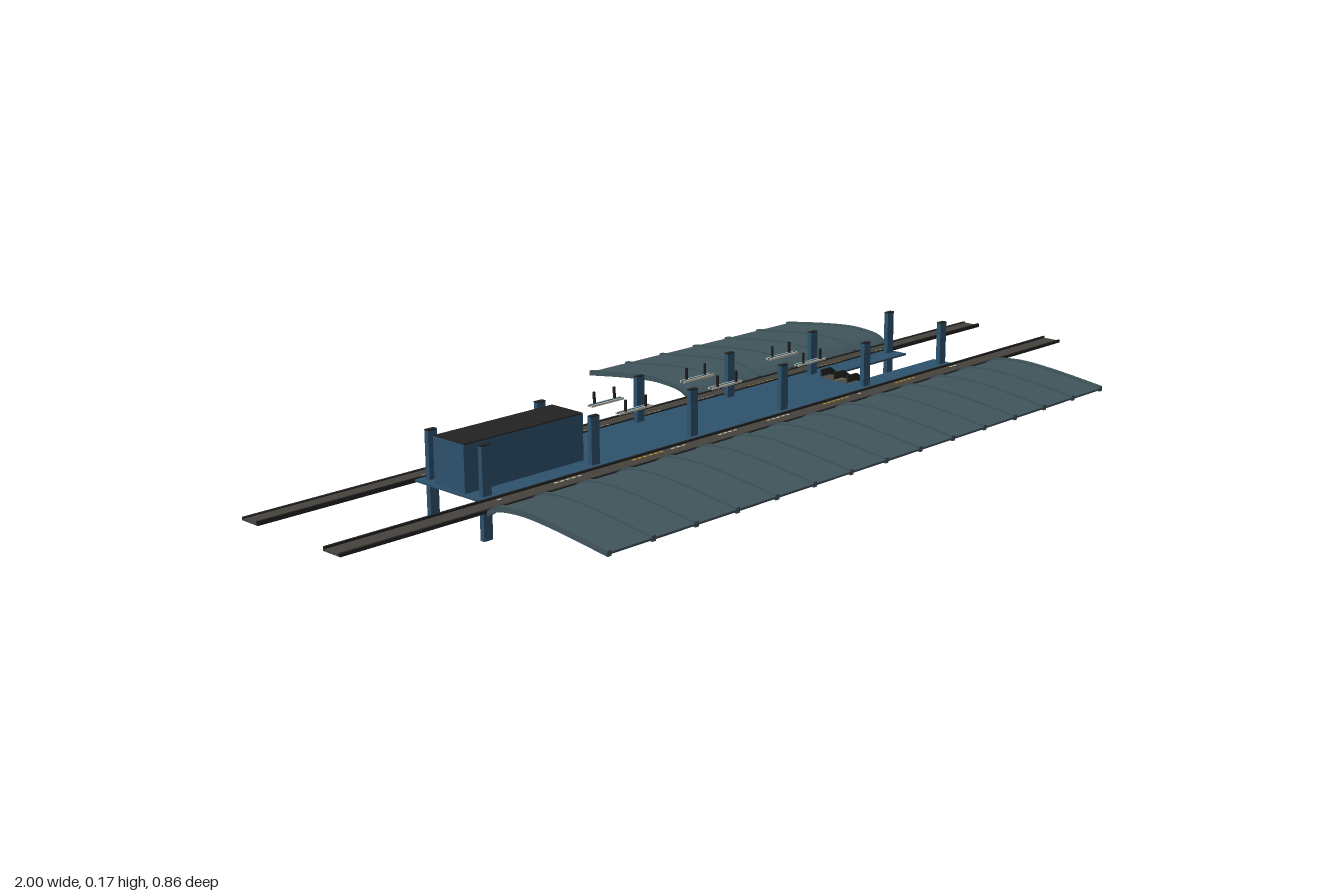
import * as THREE from 'three';
import { toCreasedNormals } from 'three/addons/utils/BufferGeometryUtils.js';

const mat = (name, color) => {
  const m = new THREE.MeshStandardMaterial({ color });
  m.name = name;
  return m;
};

export function createModel() {
  const steelBlue = mat('steel blue', 0x2d526d);
  const slate = mat('slate roof', 0x40555c);
  const dark = mat('dark iron', 0x222222);
  const trackBrown = mat('track brown', 0x46433d);
  const stairBrown = mat('tread brown', 0x4f4b40);
  const taupe = mat('taupe concrete', 0x958e8c);
  const cream = mat('lamp cream', 0xc9c0ae);
  const yellow = mat('warning yellow', 0xc99a2e);

  const model = new THREE.Group();
  const group = (name, parent = model) => {
    const g = new THREE.Group();
    g.name = name;
    parent.add(g);
    return g;
  };
  // Box given by its extents on each axis
  const box = (name, m, x0, x1, y0, y1, z0, z1, parent = model) => {
    const mesh = new THREE.Mesh(new THREE.BoxGeometry(x1 - x0, y1 - y0, z1 - z0), m);
    mesh.position.set((x0 + x1) / 2, (y0 + y1) / 2, (z0 + z1) / 2);
    mesh.name = name;
    parent.add(mesh);
    return mesh;
  };

  // Platform deck, forked around the stair opening
  const deck = new THREE.Shape([
    [-0.67, -0.09], [0.66, -0.09], [0.66, -0.038], [0.37, -0.038],
    [0.37, 0.038], [0.66, 0.038], [0.66, 0.09], [-0.67, 0.09],
  ].map(([x, z]) => new THREE.Vector2(x, z)));
  const deckGeo = new THREE.ExtrudeGeometry(deck, { depth: 0.004, bevelEnabled: false });
  deckGeo.rotateX(-Math.PI / 2);
  const platform = new THREE.Mesh(deckGeo, steelBlue);
  platform.name = 'platform';
  platform.position.y = 0.077;
  model.add(platform);

  // Columns, with dark tops
  const columns = group('columns');
  for (let i = 0; i < 6; i++) {
    const x = -0.645 + i * 0.257;
    for (const s of [-1, 1]) {
      const z = s * 0.072;
      box('column', steelBlue, x - 0.01, x + 0.01, 0, 0.171, z - 0.005, z + 0.005, columns);
      box('columnTop', dark, x - 0.01, x + 0.01, 0.171, 0.173, z - 0.005, z + 0.005, columns);
    }
  }

  // Station house with a dark flat roof
  const house = group('stationHouse');
  box('houseWalls', steelBlue, -0.665, -0.385, 0.08, 0.169, -0.041, 0.041, house);
  box('houseRoof', dark, -0.663, -0.385, 0.169, 0.171, -0.041, 0.041, house);

  // Hanging lamps: pale frame, blue middle and two thin rods
  const lamps = group('lamps');
  for (const x of [-0.252, -0.004, 0.248]) {
    for (const s of [-1, 1]) {
      const z = s * 0.038;
      box('lampBody', steelBlue, x - 0.04, x + 0.04, 0.149, 0.152, z - 0.003, z + 0.003, lamps);
      for (const e of [-1, 1]) {
        const ze = z + e * 0.0045;
        box('lampTube', cream, x - 0.042, x + 0.042, 0.148, 0.152, ze - 0.0015, ze + 0.0015, lamps);
        const xr = x + e * 0.026;
        box('lampRod', dark, xr - 0.002, xr + 0.002, 0.152, 0.174, z + s * 0.004 - 0.002, z + s * 0.004 + 0.002, lamps);
      }
    }
  }

  // Tracks: thin bed, two rails and a row of small edge marks
  const marks = [
    [-0.64, 1, cream], [-0.48, 5, cream], [-0.28, 6, yellow], [-0.2, 3, cream], [-0.065, 4, cream],
    [0.08, 5, cream], [0.255, 6, yellow], [0.33, 1, cream], [0.48, 5, yellow], [0.645, 2, cream],
  ];
  for (const s of [-1, 1]) {
    const track = group(s > 0 ? 'frontTrack' : 'backTrack');
    const strip = (name, m, x0, x1, y0, y1, za, zb) =>
      box(name, m, x0, x1, y0, y1, Math.min(s * za, s * zb), Math.max(s * za, s * zb), track);
    strip('trackBed', trackBrown, -1, 1, 0.075, 0.079, 0.093, 0.132);
    strip('innerRail', dark, -1, 1, 0.075, 0.083, 0.09, 0.094);
    strip('outerRail', dark, -1, 1, 0.075, 0.081, 0.13, 0.135);
    for (const [x, n, m] of marks) {
      for (let i = 0; i < n; i++) {
        const xi = x + (i - (n - 1) / 2) * 0.014;
        strip('edgeMark', m, xi - 0.004, xi + 0.004, 0.079, 0.08, 0.1, 0.104);
      }
    }
  }

  // Arched roofs: a curved sheet with raised ribs
  const arch = new THREE.SplineCurve([
    [0.14, 0.076], [0.16, 0.088], [0.185, 0.0935], [0.23, 0.0965],
    [0.28, 0.094], [0.35, 0.0865], [0.432, 0.0755],
  ].map(([z, y]) => new THREE.Vector2(z, y))).getPoints(28);
  const archGeo = (low, high, width, s) => {
    const shape = new THREE.Shape([
      ...arch.map((p) => new THREE.Vector2(p.x, p.y + low)),
      ...arch.map((p) => new THREE.Vector2(p.x, p.y + high)).reverse(),
    ]);
    const g = new THREE.ExtrudeGeometry(shape, { depth: width, bevelEnabled: false });
    g.translate(0, 0, -width / 2);
    g.rotateY(-s * Math.PI / 2);
    return toCreasedNormals(g, 0.6);
  };
  const roof = (name, x0, x1, s) => {
    const g = group(name);
    const sheet = new THREE.Mesh(archGeo(-0.002, 0.002, x1 - x0, s), slate);
    sheet.name = 'roofSheet';
    sheet.position.x = (x0 + x1) / 2;
    g.add(sheet);
    const ribGeo = archGeo(-0.005, 0.0055, 0.009, s);
    const n = Math.round((x1 - x0) / 0.1);
    for (let i = 0; i <= n; i++) {
      const rib = new THREE.Mesh(ribGeo, slate);
      rib.name = 'roofRib';
      rib.position.x = x0 + 0.005 + (x1 - x0 - 0.01) * i / n;
      g.add(rib);
    }
  };
  roof('frontRoof', -0.7, 0.717, 1);
  roof('backRoof', 0.075, 0.717, -1);

  // Two stair flights on sloping slabs, going down towards +x
  const stairs = group('stairs');
  const sideShape = (pts) => new THREE.Shape(pts.map(([x, y]) => new THREE.Vector2(x, y)));
  const slab = sideShape([[0.37, 0.08], [0.4, 0.08], [0.51, 0.012], [0.54, 0.012], [0.54, 0], [0.505, 0], [0.39, 0.068], [0.37, 0.07]]);
  const rail = sideShape([[0.37, 0.098], [0.4, 0.098], [0.515, 0.022], [0.545, 0.022], [0.545, 0.014], [0.51, 0.014], [0.4, 0.084], [0.37, 0.084]]);
  const profile = (name, m, shape, z0, z1) => {
    const g = new THREE.ExtrudeGeometry(shape, { depth: z1 - z0, bevelEnabled: false });
    const mesh = new THREE.Mesh(g, m);
    mesh.position.z = z0;
    mesh.name = name;
    stairs.add(mesh);
  };
  for (const s of [-1, 1]) {
    const zc = s * 0.019;
    profile('stairSlab', taupe, slab, zc - 0.017, zc + 0.017);
    for (let i = 0; i < 10; i++) {
      const x = 0.4 + i * 0.011;
      const y = 0.081 - i * 0.0068;
      box('tread', stairBrown, x, x + 0.011, y - 0.012, y, zc - 0.015, zc + 0.015, stairs);
    }
    box('topLanding', stairBrown, 0.37, 0.4, 0.08, 0.082, zc - 0.015, zc + 0.015, stairs);
    box('footLanding', stairBrown, 0.51, 0.54, 0.012, 0.014, zc - 0.015, zc + 0.015, stairs);
  }
  for (const z of [-0.036, 0, 0.036]) {
    profile('handrail', dark, rail, z - 0.002, z + 0.002);
    profile('stringer', taupe, slab, z - 0.002, z + 0.002);
  }

  return model;
}
